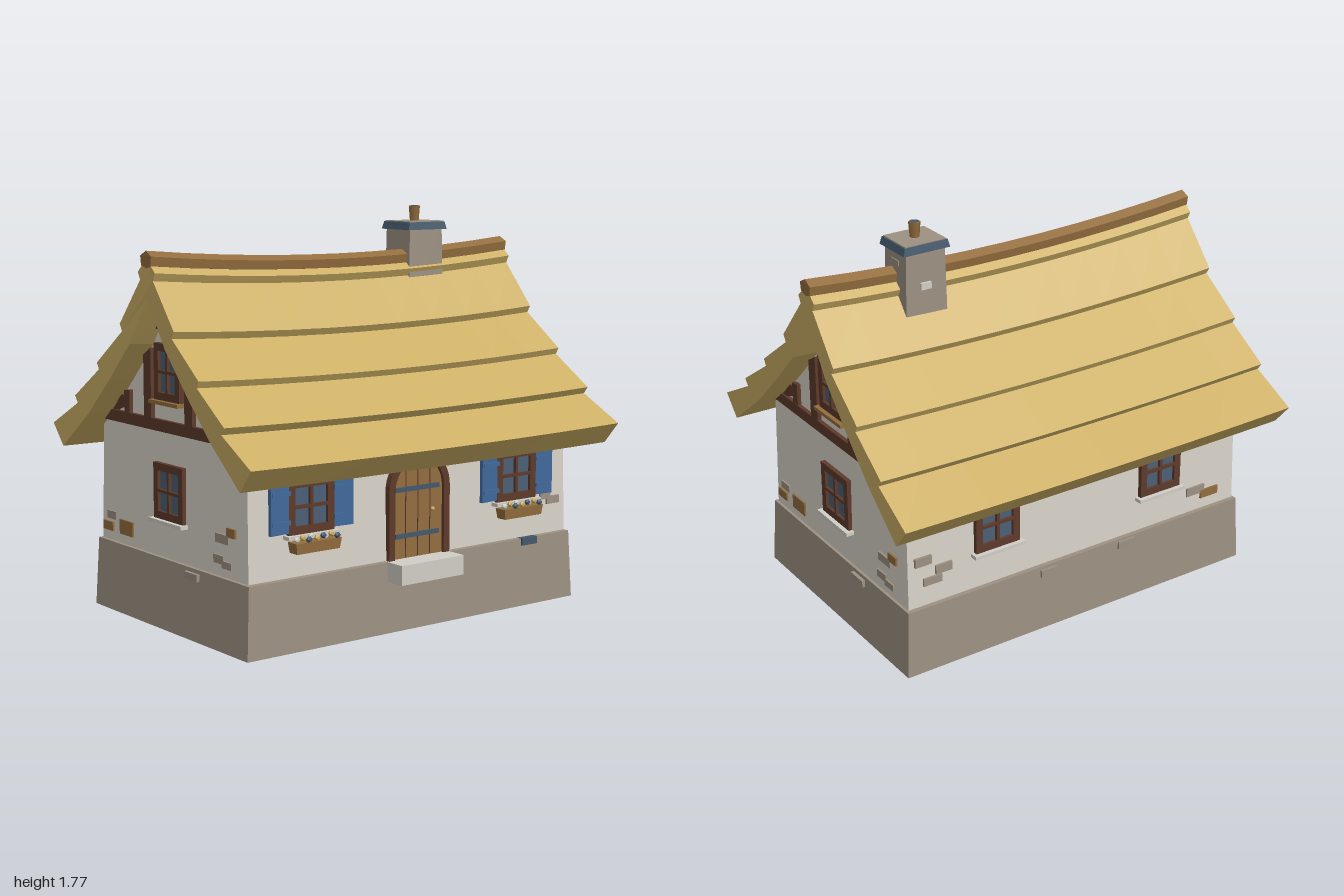
import * as THREE from 'three';

const mat = (name, color, side = THREE.FrontSide) => {
  const m = new THREE.MeshStandardMaterial({ color, side });
  m.name = name;
  return m;
};

export function createModel() {
  const thatch = mat('thatch', 0xcbae64);
  const plaster = mat('plaster', 0xd9d3c8);
  const stone = mat('stone', 0x9c9182, THREE.DoubleSide);
  const timber = mat('dark timber', 0x5e3a2b);
  const oak = mat('oak', 0x936d3e);
  const blue = mat('shutter blue', 0x40699b);
  const slate = mat('slate', 0x44586c);
  const pale = mat('pale stone', 0xd0cec6);
  const glass = mat('glass', 0x4c5f76);

  const root = new THREE.Group();
  root.name = 'cottage';

  const add = (parent, name, geo, material, x = 0, y = 0, z = 0) => {
    const m = new THREE.Mesh(geo, material);
    m.name = name;
    m.position.set(x, y, z);
    parent.add(m);
    return m;
  };
  // box given by its x, y and z ranges
  const block = (parent, name, material, x0, x1, y0, y1, z0, z1) =>
    add(parent, name, new THREE.BoxGeometry(x1 - x0, y1 - y0, z1 - z0), material,
      (x0 + x1) / 2, (y0 + y1) / 2, (z0 + z1) / 2);
  const polygon = pts => new THREE.Shape(pts.map(p => new THREE.Vector2(p[0], p[1])));
  const slab = (shape, depth) =>
    new THREE.ExtrudeGeometry(shape, { depth, bevelEnabled: false, curveSegments: 10 });
  const bend = (geo, rule) => {
    const p = geo.attributes.position, v = new THREE.Vector3();
    for (let i = 0; i < p.count; i++) {
      rule(v.fromBufferAttribute(p, i));
      p.setXYZ(i, v.x, v.y, v.z);
    }
    geo.computeVertexNormals();
    return geo;
  };
  // half outline (from the centre line round to the centre line) swept along x
  const sweep = (half, halfLength, steps, rule) => {
    const mirrored = half.filter(p => p[0] > 0).reverse().map(p => [-p[0], p[1]]);
    const geo = new THREE.ExtrudeGeometry(polygon([...half, ...mirrored]),
      { depth: halfLength * 2, steps, bevelEnabled: false });
    geo.translate(0, 0, -halfLength).rotateY(Math.PI / 2);
    return bend(geo, rule);
  };
  const tapered = (w, h, d, fx, fz) => bend(new THREE.BoxGeometry(w, h, d), v => {
    if (v.y > 0) { v.x *= fx; v.z *= fz; }
  });

  // stone base, hollow and open underneath
  const base = tapered(1.8, 0.305, 1.2, 0.983, 0.983);
  base.setIndex([...base.index.array].filter((_, i) => i < 18 || i >= 24));
  base.clearGroups();
  add(root, 'foundation', base, stone, 0, 0.1525, 0);

  // plaster walls with gables
  add(root, 'walls', sweep([[0, 0.308], [0.572, 0.308], [0.556, 0.88], [0.48, 0.92], [0.3, 1.09],
    [0.14, 1.25], [0, 1.46]], 0.874, 1, v => { v.x *= 1 - 0.015 * (v.y - 0.3); }), plaster);

  // stepped thatch with a sagging ridge
  const sag = v => {
    v.y -= (1 - v.x * v.x) * (0.01 + 0.045 * (v.y - 0.8));
    v.x *= 1 - 0.03 * (0.78 - Math.abs(v.z));
  };
  add(root, 'thatchedRoof', sweep([[0, 1.42], [0.14, 1.22], [0.3, 1.055], [0.48, 0.885], [0.697, 0.716],
    [0.777, 0.812], [0.565, 0.925], [0.587, 0.955], [0.385, 1.09], [0.4, 1.118], [0.195, 1.27],
    [0.212, 1.3], [0.05, 1.495], [0.066, 1.528], [0, 1.585]], 1, 10, sag), thatch);
  add(root, 'ridgeBeam', sweep([[0, 1.545], [0.036, 1.555], [0.042, 1.595], [0, 1.617]], 1.003, 10, sag), oak);

  // chimney
  const chimney = new THREE.Group();
  chimney.name = 'chimney';
  chimney.position.set(0.475, 0, -0.028);
  root.add(chimney);
  add(chimney, 'chimneyStack', tapered(0.205, 0.37, 0.175, 0.92, 0.95), stone, 0, 1.485, 0);
  add(chimney, 'chimneyCap', tapered(0.224, 0.034, 0.196, 0.93, 0.93), slate, 0, 1.682, 0);
  block(chimney, 'capTop', stone, -0.1, 0.1, 1.698, 1.703, -0.088, 0.088);
  add(chimney, 'chimneyPot', new THREE.CylinderGeometry(0.026, 0.02, 0.07, 6), oak, 0, 1.735, 0);
  add(chimney, 'potOpening', new THREE.CylinderGeometry(0.019, 0.019, 0.004, 6), slate, 0, 1.77, 0);
  block(chimney, 'chimneyBrick', pale, -0.02, 0.03, 1.5, 1.53, -0.096, -0.07);
  block(chimney, 'chimneyBrick', stone, 0.08, 0.1, 1.6, 1.625, -0.03, 0.03);

  // one group per wall; its local z = 0 lies on the wall face
  const wall = (name, angle, dist) => {
    const g = new THREE.Group();
    g.name = name;
    g.rotation.y = angle;
    g.position.set(Math.sin(angle) * dist, 0, Math.cos(angle) * dist);
    root.add(g);
    return g;
  };

  // four-pane window
  const addWindow = (g, x, y0, y1, w, sill) => {
    const h = y1 - y0, t = 0.033, bar = 0.007;
    const rect = (a, b, c, d) => [[a, c], [b, c], [b, d], [a, d]];
    const frame = polygon(rect(-w / 2, w / 2, 0, h));
    for (const [a, b] of [[t - w / 2, -bar], [bar, w / 2 - t]])
      for (const [c, d] of [[t, h / 2 - bar], [h / 2 + bar, h - t]])
        frame.holes.push(polygon(rect(a, b, c, d)));
    add(g, 'windowFrame', slab(frame, 0.035), timber, x, y0, -0.015);
    block(g, 'windowGlass', glass, x - w / 2 + 0.02, x + w / 2 - 0.02, y0 + 0.02, y1 - 0.02, 0, 0.006);
    block(g, 'windowSill', sill, x - w / 2 - 0.016, x + w / 2 + 0.016, y0 - 0.016, y0, -0.01, 0.04);
  };
  // wall stones: material, x0, x1, y0, y1, depth of face
  const addStones = (g, list) => list.forEach(([m, x0, x1, y0, y1, z = 0.012]) =>
    block(g, 'wallStone', m, x0, x1, y0, y1, -0.01, z));

  // front wall
  const front = wall('frontWallDetails', 0, 0.566);
  for (const x of [-0.568, 0.564]) {
    addWindow(front, x, 0.485, 0.71, 0.23, pale);
    for (const s of [-1, 1]) {
      const shutter = block(front, 'shutter', blue, x + s * 0.156 - 0.054, x + s * 0.156 + 0.054,
        0.495, 0.705, 0.006, 0.022);
      shutter.rotation.y = -s * 0.08;
      for (const y of [0.54, 0.66])
        block(front, 'shutterBatten', blue, x + s * 0.156 - 0.045, x + s * 0.156 + 0.045,
          y - 0.009, y + 0.009, 0.02, 0.029);
    }
    add(front, 'flowerBox', bend(new THREE.BoxGeometry(0.23, 0.045, 0.06), v => {
      if (v.y < 0) { v.x *= 0.94; v.z *= 0.85; }
    }), oak, x, 0.437, 0.04);
    for (let i = 0; i < 9; i++)
      add(front, 'flower', new THREE.IcosahedronGeometry(0.014, 0), [pale, thatch, slate][i % 3],
        x - 0.096 + i * 0.024, 0.47 + (i % 2) * 0.009, 0.045 + (i % 3) * 0.01);
  }
  addStones(front, [[stone, 0.72, 0.78, 0.465, 0.51], [stone, 0.76, 0.835, 0.44, 0.475],
    [slate, 0.59, 0.68, 0.275, 0.308, 0.035], [stone, 0.17, 0.235, 0.255, 0.285, 0.035]]);

  // arched door
  const arch = (path, r) => {
    path.moveTo(-r, 0.305);
    path.lineTo(r, 0.305);
    path.lineTo(r, 0.6);
    path.absarc(0, 0.6, r, 0, Math.PI, false);
    path.lineTo(-r, 0.305);
    return path;
  };
  const doorFrame = arch(new THREE.Shape(), 0.167);
  doorFrame.holes.push(arch(new THREE.Path(), 0.135));
  doorFrame.holes[0].curves.length && add(front, 'doorFrame', slab(doorFrame, 0.04), timber, 0, 0, -0.015);
  add(front, 'door', slab(arch(new THREE.Shape(), 0.138), 0.02), oak, 0, 0, -0.01);
  for (const x of [-0.067, 0, 0.067])
    block(front, 'plankGap', timber, x - 0.002, x + 0.002, 0.31, 0.7, 0.008, 0.012);
  for (const y of [0.405, 0.605])
    block(front, 'doorHinge', slate, -0.125, 0.115, y - 0.01, y + 0.01, 0.008, 0.018);
  add(front, 'doorKnob', new THREE.SphereGeometry(0.01, 8, 6), thatch, 0.075, 0.505, 0.02);
  block(front, 'doorStep', pale, -0.175, 0.167, 0.222, 0.307, -0.02, 0.119);

  // back wall
  const back = wall('backWallDetails', Math.PI, 0.566);
  for (const x of [-0.435, 0.435]) addWindow(back, x, 0.475, 0.705, 0.22, pale);
  addStones(back, [[stone, -0.84, -0.76, 0.5, 0.54], [stone, -0.74, -0.66, 0.44, 0.48],
    [stone, -0.8, -0.71, 0.4, 0.435], [stone, 0.6, 0.7, 0.39, 0.43], [oak, 0.68, 0.78, 0.36, 0.4],
    [stone, -0.22, -0.13, 0.255, 0.29, 0.035], [stone, 0.2, 0.29, 0.26, 0.295, 0.035]]);

  // gable ends
  for (const s of [1, -1]) {
    const side = wall(s > 0 ? 'leftGableDetails' : 'rightGableDetails', s * Math.PI / 2, 0.869);
    addWindow(side, 0, 0.475, 0.715, 0.226, pale);
    addWindow(side, 0, 0.985, 1.225, 0.195, oak);
    block(side, 'tieBeam', timber, -0.555, 0.555, 0.85, 0.9, -0.02, 0.016);
    add(side, 'collarBeam', slab(polygon([[-0.09, 1.283], [0.09, 1.283], [0.066, 1.322], [-0.066, 1.322]]), 0.03),
      timber, 0, 0, -0.016);
    block(side, 'kingPost', timber, -0.02, 0.02, 1.31, 1.41, -0.02, 0.014);
    for (const m of [-1, 1]) {
      const piece = (name, pts, depth) => add(side, name,
        slab(polygon(pts.map(([x, y]) => [x * m, y])), depth), timber, 0, 0, -0.016);
      piece('gablePost', [[0.13, 0.89], [0.188, 0.89], [0.188, 1.165], [0.13, 1.2]], 0.032);
      piece('shortPost', [[0.31, 0.89], [0.355, 0.89], [0.355, 0.995], [0.31, 1.0]], 0.03);
      piece('sideRail', [[0.31, 0.94], [0.42, 0.94], [0.42, 0.972], [0.31, 0.972]], 0.027);
      piece('brace', [[0.34, 0.935], [0.46, 0.885], [0.5, 0.885], [0.36, 0.975]], 0.024);
    }
    addStones(side, [[stone, -0.52, -0.445, 0.405, 0.44], [oak, -0.555, -0.475, 0.35, 0.39],
      [oak, -0.415, -0.305, 0.35, 0.415], [stone, 0.345, 0.44, 0.447, 0.485],
      [oak, 0.425, 0.487, 0.48, 0.518], [stone, 0.33, 0.4, 0.36, 0.395],
      [stone, 0.39, 0.46, 0.345, 0.375], [stone, 0.137, 0.235, 0.258, 0.288, 0.032]]);
  }
  return root;
}
